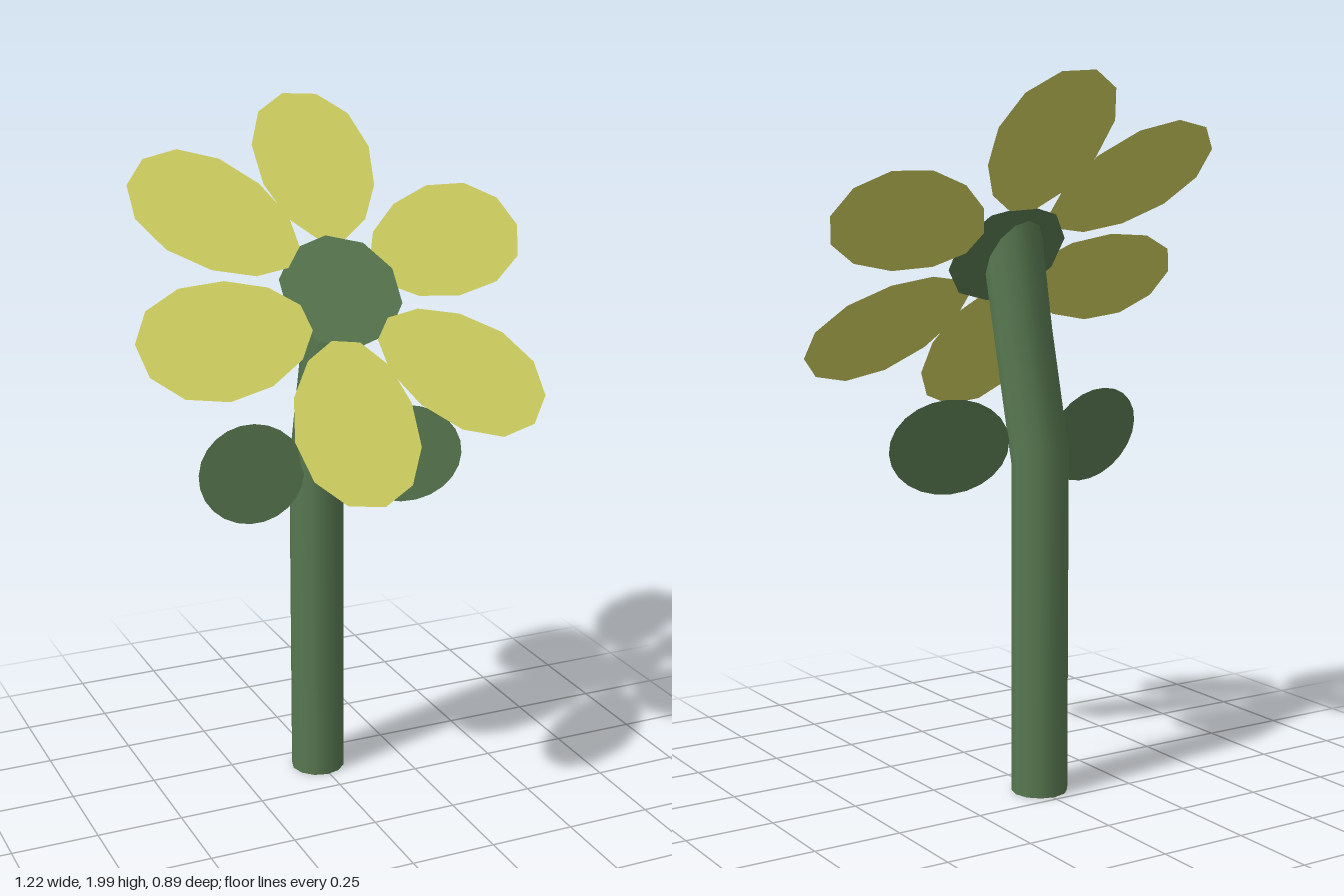
import * as THREE from 'three';

const GREEN = 0x587850;
const YELLOW = 0xd0d060;

// Flat oval blade, a little wider towards its +x end
function blade(length, width, sides, taper = 0) {
  const pts = [];
  for (let i = 0; i < sides; i++) {
    const a = ((i + 0.5) / sides) * Math.PI * 2;
    pts.push(new THREE.Vector2(
      Math.cos(a) * length,
      Math.sin(a) * width * (1 + taper * Math.cos(a))
    ));
  }
  return new THREE.ShapeGeometry(new THREE.Shape(pts));
}

function makeMesh(name, geometry, color, side = THREE.DoubleSide) {
  const mesh = new THREE.Mesh(geometry, new THREE.MeshStandardMaterial({ color, side }));
  mesh.name = name;
  return mesh;
}

// Round stalk that stands straight, then leans forward to a slanted top
function stemGeometry() {
  const rings = [ // height, z, slant
    { y: 0, z: -0.155, slant: 0 },
    { y: 0.95, z: -0.155, slant: -0.5 },
    { y: 1.28, z: -0.07, slant: -0.6 },
    { y: 1.5, z: -0.02, slant: -1.25 },
  ];
  const geo = new THREE.CylinderGeometry(0.079, 0.079, 3, 12, 3);
  geo.translate(0, 1.5, 0);
  const p = geo.attributes.position;
  for (let i = 0; i < p.count; i++) {
    const r = rings[Math.round(p.getY(i))];
    const z = p.getZ(i);
    p.setXYZ(i, p.getX(i) - 0.006, r.y + r.slant * z, r.z + z);
  }
  return geo;
}

export function createModel() {
  const model = new THREE.Group();
  model.name = 'flower';

  model.add(makeMesh('stem', stemGeometry(), GREEN, THREE.FrontSide));

  // Pair of leaves, leaning back with their tips swept forward
  for (const s of [1, -1]) {
    const leaf = makeMesh(s > 0 ? 'leftLeaf' : 'rightLeaf', blade(0.174, 0.14, 24), GREEN);
    leaf.position.set(s * 0.236, 0.988, -0.074);
    leaf.rotation.set(-0.245, s * -0.19, 0);
    model.add(leaf);
  }

  // Flower head, tilted up to face the sky and the front
  const head = new THREE.Group();
  head.name = 'flowerHead';
  head.position.set(0, 1.52, 0);
  head.rotation.x = -0.742;
  model.add(head);

  const disc = makeMesh('flowerCentre', blade(0.179, 0.173, 10), GREEN);
  disc.position.set(0.005, -0.009, -0.012);
  disc.rotation.x = 0.07;
  head.add(disc);

  // Petals: x, y on the head, direction in degrees, offset from the head's plane
  const petals = [
    [0.046, 0.4, 85, -0.01],
    [0.365, 0.122, 19, -0.018],
    [0.287, -0.284, -38, -0.018],
    [-0.073, -0.408, -100, -0.005],
    [-0.362, -0.12, -171, -0.006],
    [-0.298, 0.255, 141, 0.004],
  ];
  const petalGeo = blade(0.253, 0.177, 12, 0.12);
  petals.forEach(([x, y, angle, offset], i) => {
    const petal = makeMesh(`petal${i + 1}`, petalGeo, YELLOW);
    petal.position.set(x, y, offset);
    petal.rotation.z = THREE.MathUtils.degToRad(angle);
    head.add(petal);
  });

  return model;
}
